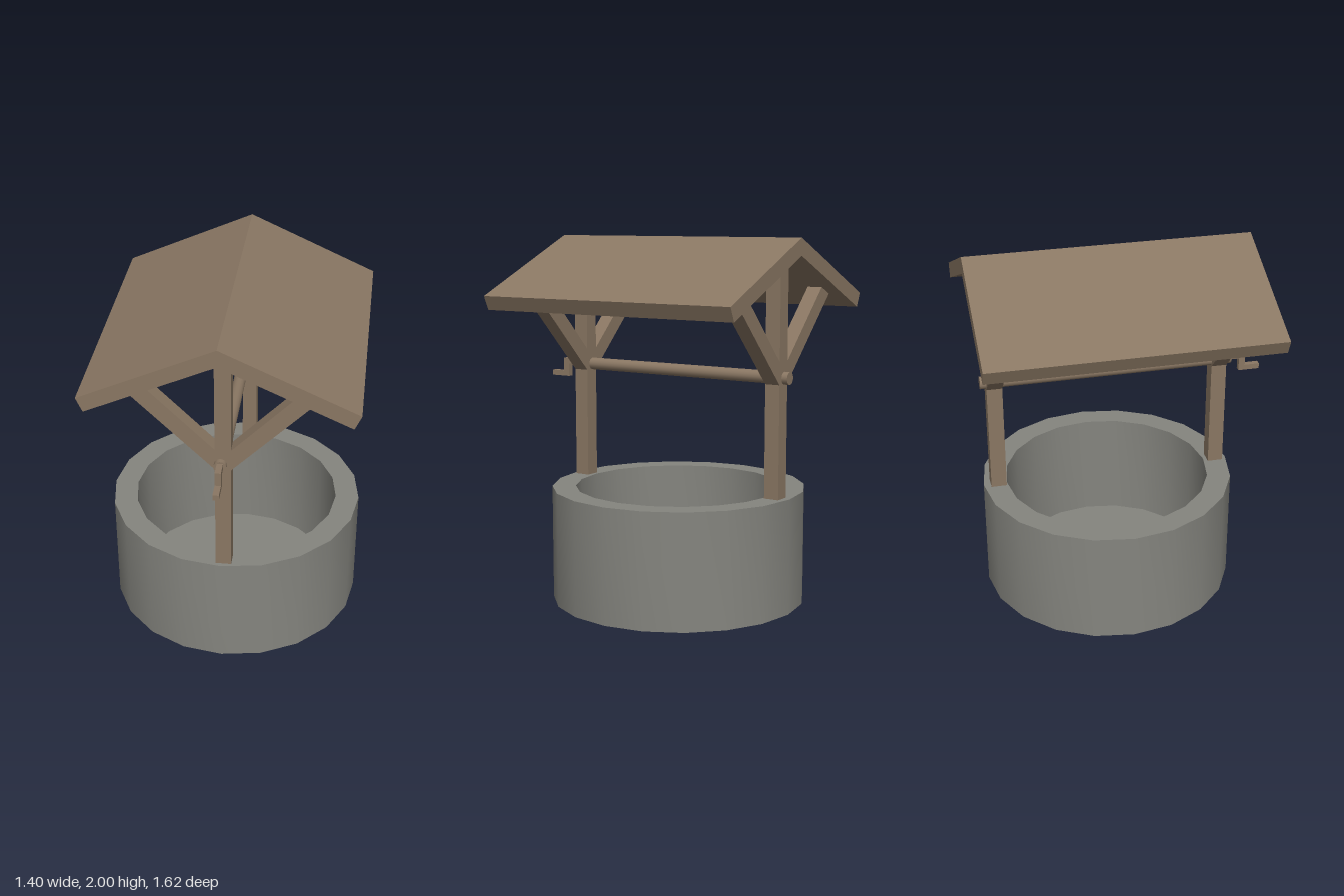
import * as THREE from 'three';
import { toCreasedNormals } from 'three/addons/utils/BufferGeometryUtils.js';

const wood = new THREE.MeshStandardMaterial({ color: 0x8a7763 });
wood.name = 'wood';
const stone = new THREE.MeshStandardMaterial({ color: 0x85857f });
stone.name = 'stone';

function add(parent, name, geometry, material, x = 0, y = 0, z = 0) {
  const mesh = new THREE.Mesh(geometry, material);
  mesh.name = name;
  mesh.position.set(x, y, z);
  parent.add(mesh);
  return mesh;
}

// Flat outline in x/y, extruded along z between two planes
function slab(parent, name, points, zBack, zFront) {
  const shape = new THREE.Shape(points.map(([x, y]) => new THREE.Vector2(x, y)));
  const geometry = new THREE.ExtrudeGeometry(shape, { depth: zFront - zBack, bevelEnabled: false });
  return add(parent, name, geometry, wood, 0, 0, zBack);
}

// Box given by its lower and upper corners
function block(parent, name, [x0, y0, z0], [x1, y1, z1]) {
  const geometry = new THREE.BoxGeometry(x1 - x0, y1 - y0, z1 - z0);
  return add(parent, name, geometry, wood, (x0 + x1) / 2, (y0 + y1) / 2, (z0 + z1) / 2);
}

export function createModel() {
  const well = new THREE.Group();
  well.name = 'well';

  // Hollow round stone wall with a closed floor
  const profile = [[0, 0], [0.7, 0], [0.7, 0.63], [0.57, 0.63], [0.57, 0.02], [0, 0.02]]
    .map(([r, y]) => new THREE.Vector2(r, y));
  add(well, 'stoneWall', toCreasedNormals(new THREE.LatheGeometry(profile, 20), 0.6), stone, 0, 0, -0.06);

  // Front and back frames: a post with two slanted braces
  for (const [side, zBack, zFront] of [['front', 0.53, 0.615], ['back', -0.72, -0.635]]) {
    const frame = new THREE.Group();
    frame.name = side + 'Frame';
    well.add(frame);
    block(frame, 'post', [-0.03, 0.625, zBack], [0.053, 1.92, zFront]);
    slab(frame, 'rightBrace', [[-0.03, 1.24], [-0.03, 1.36], [-0.41, 1.735], [-0.495, 1.695]], zBack, zFront);
    slab(frame, 'leftBrace', [[0.053, 1.24], [0.495, 1.69], [0.41, 1.73], [0.053, 1.36]], zBack, zFront);
  }

  // Gabled roof
  slab(well, 'roof', [
    [0, 2], [-0.697, 1.686], [-0.663, 1.61], [0, 1.908], [0.663, 1.61], [0.697, 1.686],
  ], -0.81, 0.727);

  // Winding axle
  const axle = new THREE.CylinderGeometry(0.034, 0.034, 1.395, 16).rotateX(Math.PI / 2);
  add(well, 'axle', axle, wood, 0, 1.272, -0.055);

  // Crank: stub, arm and handle
  const crank = new THREE.Group();
  crank.name = 'crank';
  well.add(crank);
  block(crank, 'crankStub', [-0.016, 1.263, 0.63], [0.016, 1.295, 0.70]);
  block(crank, 'crankArm', [-0.016, 1.19, 0.692], [0.016, 1.295, 0.727]);
  block(crank, 'crankHandle', [-0.016, 1.19, 0.72], [0.016, 1.22, 0.81]);

  return well;
}
